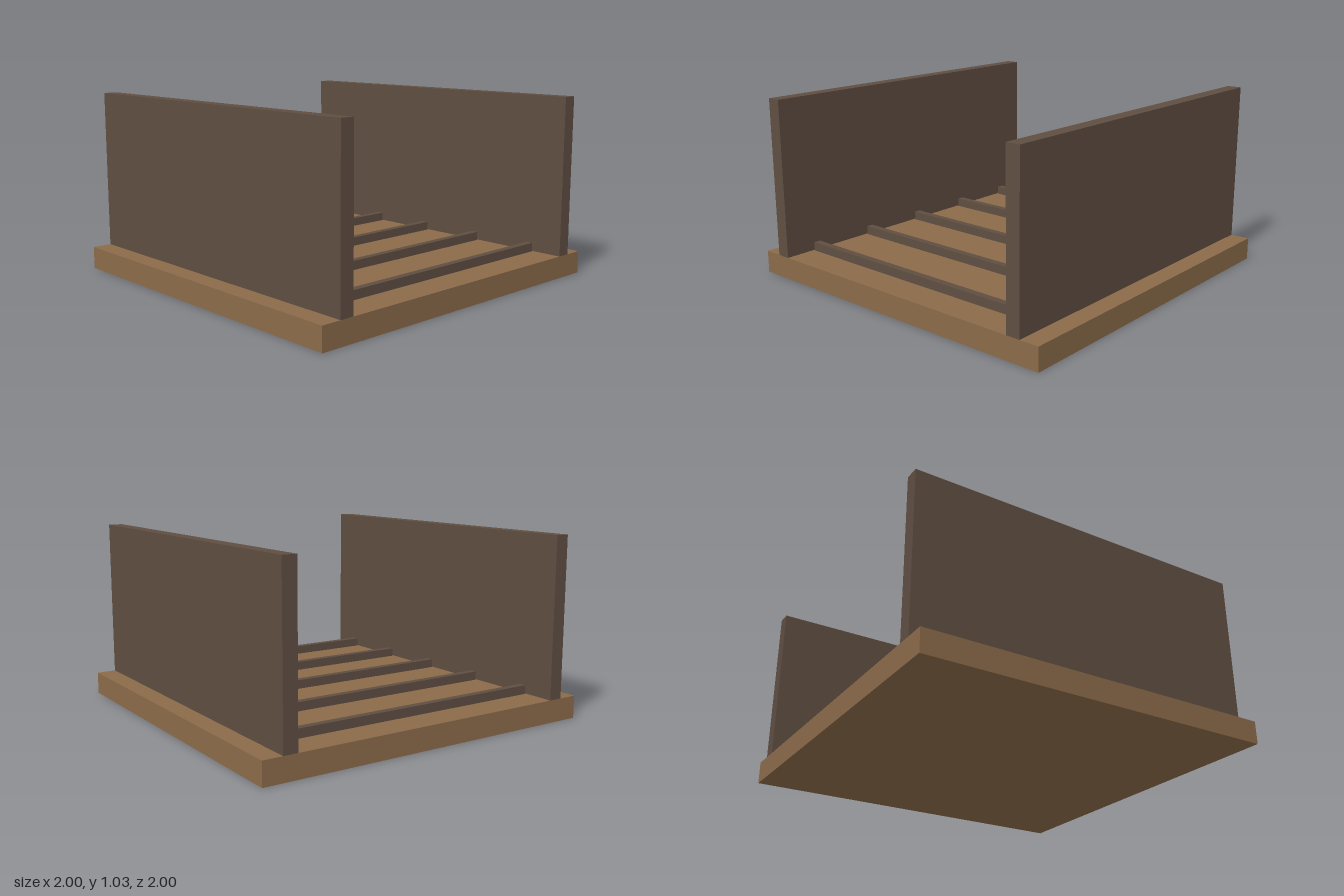
import * as THREE from 'three';

const wood = new THREE.MeshStandardMaterial({ color: 0x8b6b4a });
wood.name = 'lightWood';
const darkWood = new THREE.MeshStandardMaterial({ color: 0x5f4e42 });
darkWood.name = 'darkWood';

const BASE_TOP = 0.127;

// Box standing on the given height
function addBox(parent, name, material, [w, h, d], x, bottom, z) {
  const mesh = new THREE.Mesh(new THREE.BoxGeometry(w, h, d), material);
  mesh.name = name;
  mesh.position.set(x, bottom + h / 2, z);
  parent.add(mesh);
}

export function createModel() {
  const model = new THREE.Group();
  model.name = 'walledRamp';

  // Floor slab
  addBox(model, 'floor', wood, [2, BASE_TOP, 2], 0, 0, 0);

  // Side walls, set in from the slab edges
  for (const side of [-1, 1]) {
    addBox(model, side > 0 ? 'leftWall' : 'rightWall', darkWood, [0.08, 0.9, 2], side * 0.85, BASE_TOP, 0);
  }

  // Cross slats between the walls
  for (let i = -2; i <= 2; i++) {
    addBox(model, `slat${i + 3}`, darkWood, [1.6, 0.05, 0.04], 0, BASE_TOP, i * 0.4);
  }

  return model;
}
